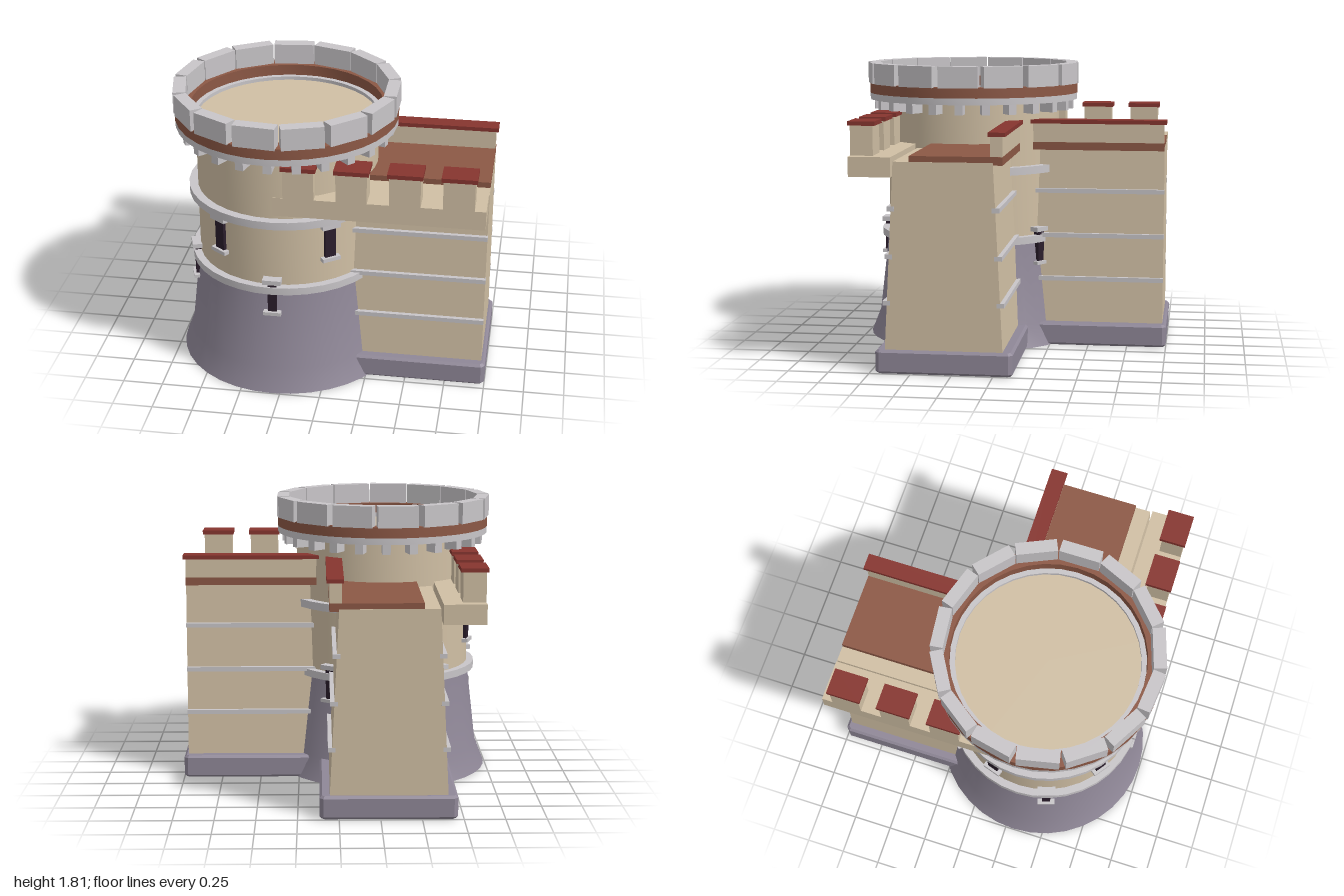
import * as THREE from 'three';
import { toCreasedNormals } from 'three/addons/utils/BufferGeometryUtils.js';

const mat = (name, color) => {
  const m = new THREE.MeshStandardMaterial({ color });
  m.name = name;
  return m;
};

export function createModel() {
  const sand = mat('sandstone', 0xd0bfa4);
  const plum = mat('plum stone', 0x8f8797);
  const grey = mat('pale trim', 0xc8c5c8);
  const brown = mat('brown planks', 0x8c5845);
  const red = mat('red coping', 0x86352f);
  const dark = mat('dark opening', 0x2a1d2b);

  const model = new THREE.Group();
  model.name = 'cornerCastle';

  const add = (parent, name, geometry, material) => {
    const mesh = new THREE.Mesh(geometry, material);
    mesh.name = name;
    parent.add(mesh);
    return mesh;
  };

  // Box from its limits on each axis
  const box = (x0, x1, y0, y1, z0, z1) =>
    new THREE.BoxGeometry(x1 - x0, y1 - y0, z1 - z0)
      .translate((x0 + x1) / 2, (y0 + y1) / 2, (z0 + z1) / 2);

  // ---- Round tower ----
  const tower = new THREE.Group();
  tower.name = 'tower';
  tower.position.set(-0.302, 0, 0.302);
  model.add(tower);

  const lathe = (points) => toCreasedNormals(
    new THREE.LatheGeometry(points.map(([r, y]) => new THREE.Vector2(r, y)), 36), 0.5);
  const ring = (inner, outer, y0, y1) =>
    lathe([[outer, y0], [outer, y1], [inner, y1], [inner, y0], [outer, y0]]);

  add(tower, 'towerFoot', lathe([[0, 0], [0.694, 0], [0.635, 0.15], [0.572, 0.69], [0, 0.69]]), plum);
  add(tower, 'towerDrum', lathe([[0.568, 0.68], [0.565, 1.59], [0, 1.59]]), sand);
  add(tower, 'lowerBand', ring(0.54, 0.615, 0.665, 0.712), grey);
  add(tower, 'upperBand', ring(0.54, 0.62, 1.115, 1.165), grey);
  add(tower, 'crownLedge', ring(0.56, 0.688, 1.57, 1.612), grey);
  add(tower, 'crownBelt', ring(0.592, 0.69, 1.612, 1.68), brown);

  // Repeats a set of parts around the tower axis, angle measured from the front
  const around = (name, count, start, build) => {
    for (let i = 0; i < count; i++) {
      const g = new THREE.Group();
      g.name = name;
      g.rotation.y = THREE.MathUtils.degToRad(start + (i * 360) / count);
      build(g);
      tower.add(g);
    }
  };

  const crownBlock = box(-0.127, 0.127, 1.675, 1.81, 0.612, 0.69);
  around('crownMerlon', 15, 90, (g) => add(g, 'crownBlock', crownBlock, grey));

  const corbel = box(-0.026, 0.026, 1.505, 1.575, 0.55, 0.66);
  around('corbel', 24, 0, (g) => add(g, 'corbelBlock', corbel, grey));

  around('upperWindow', 5, 36, (g) => {
    add(g, 'slot', box(-0.036, 0.036, 0.87, 1.09, 0.54, 0.585), dark);
    add(g, 'lintel', box(-0.06, 0.06, 1.078, 1.108, 0.54, 0.602), grey);
    add(g, 'sill', box(-0.06, 0.06, 0.858, 0.882, 0.54, 0.602), grey);
  });

  around('lowerWindow', 5, 0, (g) => {
    add(g, 'slot', box(-0.027, 0.027, 0.53, 0.745, 0.54, 0.605), dark);
    add(g, 'lintel', box(-0.057, 0.057, 0.735, 0.765, 0.54, 0.622), grey);
    add(g, 'sill', box(-0.055, 0.055, 0.52, 0.542, 0.54, 0.622), grey);
  });

  // ---- Curtain walls: built along +x, mirrored on the diagonal for the other ----
  const diagonal = new THREE.Matrix4().set(
    0, 0, -1, 0,
    0, 1, 0, 0,
    -1, 0, 0, 0,
    0, 0, 0, 1);
  const mirrored = (geometry) => {
    const g = geometry.index ? geometry.toNonIndexed() : geometry.clone();
    g.applyMatrix4(diagonal);
    // Swap two corners per triangle so faces keep pointing outward
    const order = [];
    for (let i = 0; i < g.attributes.position.count; i += 3) order.push(i, i + 2, i + 1);
    g.setIndex(order);
    return g;
  };

  const polygon = (points) => new THREE.Shape(points.map(([x, y]) => new THREE.Vector2(x, y)));

  // Tapered wall cross-section, drawn as (-z, y) and drawn out along x
  const wallBody = () => new THREE.ExtrudeGeometry(
    polygon([[-0.657, 0.13], [0.057, 0.13], [0, 1.28], [-0.597, 1.28]]),
    { depth: 1.275, bevelEnabled: false }).rotateY(Math.PI / 2).translate(-0.3, 0, 0);

  // Chamfered footing
  const plinth = () => {
    const b = 0.015, x0 = -0.3, x1 = 1 - b, y0 = -0.715 + b, y1 = 0.118 - b;
    return new THREE.ExtrudeGeometry(
      polygon([[x0, y0], [x1 - b, y0], [x1, y0 + b], [x1, y1 - b], [x1 - b, y1], [x0, y1]]),
      { depth: 0.145 - 2 * b, bevelSize: b, bevelThickness: b, bevelSegments: 1 })
      .rotateX(-Math.PI / 2).translate(0, b, 0);
  };

  const buildWall = (name, place) => {
    const wall = new THREE.Group();
    wall.name = name;
    model.add(wall);
    const put = (part, geometry, material) => add(wall, part, place(geometry), material);

    put('plinth', plinth(), plum);
    put('wallBody', wallBody(), sand);

    // String courses on both long faces, following the taper
    for (const y of [0.428, 0.71, 0.998]) {
      const t = (y - 0.13) / 1.15;
      const outer = 0.657 - 0.06 * t, inner = -0.057 + 0.057 * t;
      put('outerString', box(-0.1, 0.977, y - 0.014, y + 0.014, outer - 0.02, outer + 0.025), grey);
      put('innerString', box(-0.1, 0.977, y - 0.014, y + 0.014, inner - 0.025, inner + 0.02), grey);
    }

    // Walkway and low inner parapet
    put('walkway', box(-0.1, 0.974, 1.265, 1.315, -0.058, 0.5), brown);
    put('innerParapet', box(-0.03, 0.972, 1.306, 1.437, -0.057, 0.015), sand);
    put('innerCoping', box(-0.03, 0.988, 1.435, 1.46, -0.075, 0.028), red);

    // Overhanging battlement with capped merlons
    put('battlementBase', box(-0.3, 0.972, 1.185, 1.305, 0.612, 0.868), sand);
    for (let i = 0; i < 4; i++) {
      const x = -0.14 + i * 0.317;
      put('merlon', box(x - 0.093, x + 0.093, 1.3, 1.488, 0.73, 0.868), sand);
      put('merlonCap', box(x - 0.105, x + 0.105, 1.485, 1.511, 0.716, 0.88), red);
    }
  };

  buildWall('leftWall', (g) => g);
  buildWall('backWall', mirrored);

  return model;
}
